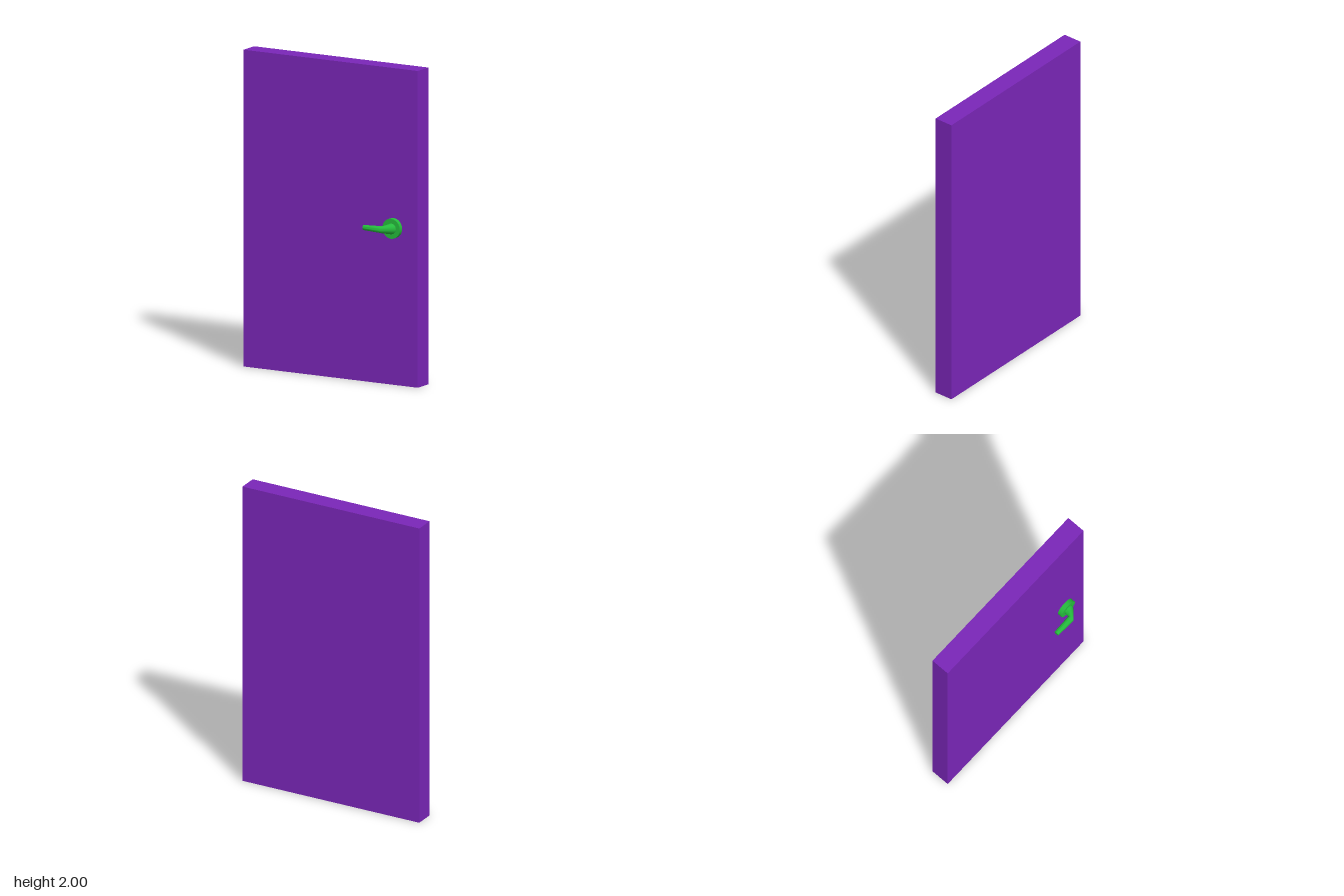
import * as THREE from 'three';
import { toCreasedNormals } from 'three/addons/utils/BufferGeometryUtils.js';

// Joins elliptical rings; each ring is [innerX, innerZ, outerX, outerZ, halfHeight].
function loftRings(rings, y, sides = 24) {
  const pos = [], index = [];
  for (const [ix, iz, ox, oz, h] of rings) {
    for (let j = 0; j < sides; j++) {
      const t = (j / sides) * Math.PI * 2, c = Math.cos(t) / 2;
      pos.push((ix + ox) / 2 + (ox - ix) * c, y + h * Math.sin(t), (iz + oz) / 2 + (oz - iz) * c);
    }
  }
  for (let i = 0; i < rings.length - 1; i++) {
    for (let j = 0; j < sides; j++) {
      const k = (j + 1) % sides, a = i * sides, b = a + sides;
      index.push(a + j, a + k, b + k, a + j, b + k, b + j);
    }
  }
  // flat cap on the last ring
  const last = (rings.length - 1) * sides;
  for (let j = 1; j < sides - 1; j++) index.push(last, last + j, last + j + 1);
  const geo = new THREE.BufferGeometry();
  geo.setAttribute('position', new THREE.Float32BufferAttribute(pos, 3));
  geo.setIndex(index);
  return toCreasedNormals(geo, 0.9);
}

export function createModel() {
  const model = new THREE.Group();
  const purple = new THREE.MeshStandardMaterial({ color: 0x7a26b8 });
  const green = new THREE.MeshStandardMaterial({ color: 0x25bb3c });
  const handleX = 0.455, handleY = 0.99, faceZ = 0.011;

  // Plain door slab
  const panel = new THREE.Mesh(new THREE.BoxGeometry(1.26, 2, 0.126), purple);
  panel.name = 'doorPanel';
  panel.position.set(0, 1, faceZ - 0.063);
  model.add(panel);

  const handle = new THREE.Group();
  handle.name = 'doorHandle';

  // Round backplate on the front face
  const plate = new THREE.Mesh(new THREE.CylinderGeometry(0.063, 0.063, 0.03, 32), green);
  plate.name = 'backplate';
  plate.rotation.x = Math.PI / 2;
  plate.position.set(handleX, handleY, faceZ + 0.015);
  handle.add(plate);

  // Neck that bends into a tapering lever
  const lever = new THREE.Mesh(loftRings([
    [0.422, 0.04, 0.49, 0.04, 0.034],
    [0.423, 0.046, 0.49, 0.051, 0.033],
    [0.423, 0.071, 0.423, 0.115, 0.022],
    [0.288, 0.076, 0.288, 0.109, 0.016],
  ], handleY), green);
  lever.name = 'lever';
  handle.add(lever);

  model.add(handle);
  return model;
}
